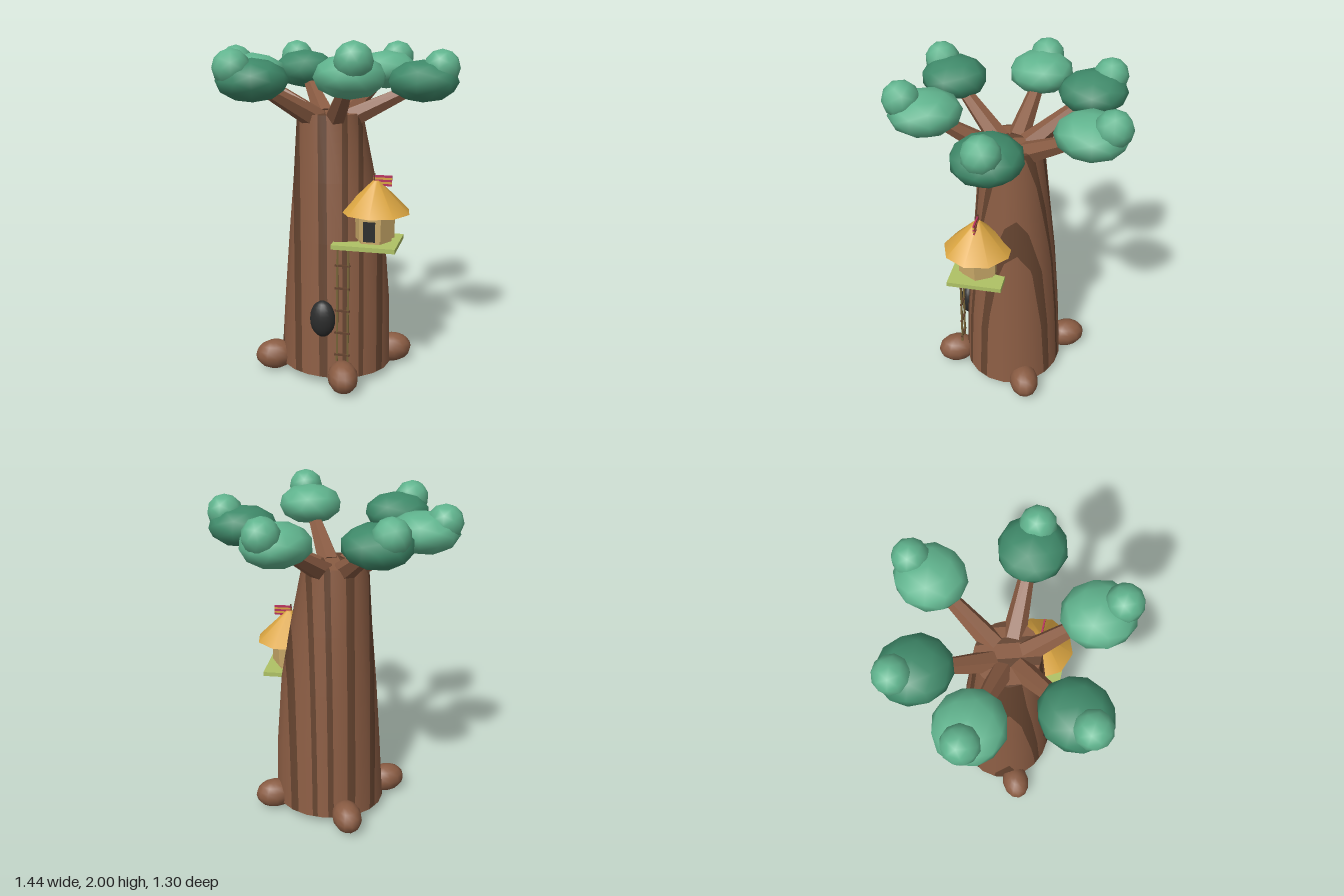
import * as THREE from 'three';

const mat = (name, hex, extra = {}) => {
  const m = new THREE.MeshStandardMaterial({ color: hex, ...extra });
  m.name = name;
  return m;
};

// Cuts a polygon of [x,y,z,nx,ny,nz] corners, keeping the side where f >= 0
function cut(poly, f) {
  const out = [];
  poly.forEach((a, i) => {
    const b = poly[(i + 1) % poly.length], fa = f(a), fb = f(b);
    if (fa >= 0) out.push(a);
    if ((fa >= 0) !== (fb >= 0)) out.push(a.map((v, k) => v + (b[k] - v) * fa / (fa - fb)));
  });
  return out;
}

// Trunk faces: elliptical cross-sections [y, centre x, centre z, radius x, radius z]
function trunkFaces() {
  const rows = [
    [0.05, 0.014, 0.005, 0.338, 0.302], [0.45, 0.022, 0.005, 0.32, 0.283],
    [0.85, 0.02, 0.003, 0.289, 0.25], [1.2, 0.005, 0.01, 0.242, 0.215],
    [1.58, -0.02, 0.02, 0.19, 0.18],
  ];
  const sides = 20, faces = [];
  const corner = ([y, cx, cz, rx, rz], i, n) => {
    const t = i / sides * Math.PI * 2, c = Math.cos(t), s = Math.sin(t);
    return [cx + rx * c, y, cz + rz * s, ...(n || [c, 0.1, s])];
  };
  for (let j = 0; j < rows.length - 1; j++)
    for (let i = 0; i < sides; i++)
      faces.push([corner(rows[j], i), corner(rows[j + 1], i), corner(rows[j + 1], i + 1), corner(rows[j], i + 1)]);
  const ring = [...Array(sides).keys()];
  faces.push(ring.map(i => corner(rows[0], i, [0, -1, 0])));
  faces.push(ring.map(i => corner(rows[4], -i, [0, 1, 0])));
  return faces;
}

// Collects the part of every face lying in grain bands lo..hi
function grainGeometry(faces, bands) {
  const pos = [], nor = [], grain = p => p[0] - 0.3 * p[2];
  for (const [lo, hi] of bands)
    for (const face of faces) {
      const p = cut(cut(face, v => grain(v) - lo), v => hi - grain(v));
      for (let i = 1; i < p.length - 1; i++)
        for (const v of [p[0], p[i], p[i + 1]]) {
          pos.push(v[0], v[1], v[2]);
          nor.push(v[3], v[4], v[5]);
        }
    }
  const g = new THREE.BufferGeometry();
  g.setAttribute('position', new THREE.Float32BufferAttribute(pos, 3));
  g.setAttribute('normal', new THREE.Float32BufferAttribute(nor, 3));
  g.normalizeNormals();
  return g;
}

export function createModel() {
  const model = new THREE.Group();
  model.name = 'treeHouse';
  const bark = mat('bark brown', 0x8a5c43);
  const barkFlat = bark;
  const grain = mat('dark grain', 0x64432f);
  const leafLight = mat('light leaf', 0x60b48e);
  const leafDark = mat('dark leaf', 0x3f8a6a);
  const thatch = mat('thatch gold', 0xd9a441);
  const wall = mat('wall tan', 0xc8a868);
  const deck = mat('deck lime', 0xafc265);
  const dark = mat('opening black', 0x2b2c2c);
  const pink = mat('flag pink', 0xb8325f);
  const rope = mat('rail olive', 0x79663a);

  const add = (name, geo, material, x = 0, y = 0, z = 0, parent = model) => {
    const m = new THREE.Mesh(geo, material);
    m.name = name;
    m.position.set(x, y, z);
    parent.add(m);
    return m;
  };
  // Tapered bar between two points
  const bar = (name, a, b, r0, r1, sides, material) => {
    const d = b.clone().sub(a);
    const geo = new THREE.CylinderGeometry(r1, r0, d.length(), sides).toNonIndexed();
    geo.computeVertexNormals();
    const m = add(name, geo, material);
    m.position.copy(a).add(b).multiplyScalar(0.5);
    m.quaternion.setFromUnitVectors(new THREE.Vector3(0, 1, 0), d.normalize());
    return m;
  };
  const V = (x, y, z) => new THREE.Vector3(x, y, z);

  // Trunk with vertical grain stripes
  const stripes = [[-0.345, -0.32], [-0.25, -0.21], [-0.105, -0.055], [0.035, 0.07], [0.135, 0.165], [0.25, 0.29]];
  const edges = [-1, ...stripes.flat(), 1], gaps = [];
  for (let i = 0; i < edges.length; i += 2) gaps.push([edges[i], edges[i + 1]]);
  const faces = trunkFaces();
  add('trunk', grainGeometry(faces, gaps), bark);
  add('trunkGrain', grainGeometry(faces, stripes), grain);

  // Roots
  for (const [x, z] of [[0.14, 0.355], [0.345, -0.125], [-0.135, -0.32], [-0.335, 0.15]]) {
    const root = add('root', new THREE.SphereGeometry(1, 12, 8), bark, x, 0.09, z);
    root.scale.set(0.088, 0.09, 0.12);
    root.rotation.y = Math.atan2(x, z);
  }

  // Branches and leaf clumps: big x, y, z, then small x, y, z
  const crowns = [
    [-0.51, 1.785, -0.06, -0.62, 1.845, -0.075, leafLight],
    [-0.285, 1.79, -0.39, -0.36, 1.86, -0.475, leafDark],
    [0.225, 1.79, -0.44, 0.275, 1.86, -0.55, leafLight],
    [0.515, 1.765, 0.035, 0.615, 1.84, 0.04, leafDark],
    [0.19, 1.815, 0.44, 0.235, 1.9, 0.55, leafLight],
    [-0.34, 1.785, 0.425, -0.42, 1.855, 0.515, leafDark],
  ];
  for (const [x, y, z, sx, sy, sz, leaf] of crowns) {
    const a = Math.atan2(z, x);
    bar('branch', V(0.1 * Math.cos(a) - 0.01, 1.54, 0.1 * Math.sin(a) + 0.02), V(x * 0.9, y - 0.04, z * 0.9), 0.066, 0.035, 6, barkFlat);
    const big = add('leafClump', new THREE.IcosahedronGeometry(1, 1), leaf, x, y, z);
    big.scale.set(0.2, 0.117, 0.19);
    big.rotation.y = -a;
    const small = add('leafTuft', new THREE.IcosahedronGeometry(0.102, 1), leafLight, sx, sy, sz);
    small.rotation.y = -a;
  }

  // Hollow in the trunk
  add('hollow', new THREE.SphereGeometry(1, 16, 12), dark, 0.005, 0.415, 0.295).scale.set(0.075, 0.11, 0.055);

  // Platform and hut
  add('platform', new THREE.BoxGeometry(0.365, 0.026, 0.315), deck, 0.238, 0.857, 0.155);
  const hut = new THREE.Group();
  hut.name = 'hut';
  hut.position.set(0.27, 0, 0.155);
  model.add(hut);
  const hexagon = (r0, r1, h) => {
    const g = new THREE.CylinderGeometry(r1, r0, h, 6, 1, false, Math.PI / 6).toNonIndexed();
    g.computeVertexNormals();
    return g;
  };
  add('hutFloor', hexagon(0.105, 0.105, 0.03), wall, 0, 0.882, 0, hut);
  add('hutWalls', hexagon(0.122, 0.122, 0.15), wall, 0, 0.968, 0, hut);
  add('door', new THREE.BoxGeometry(0.068, 0.115, 0.008), dark, -0.004, 0.945, 0.107, hut);
  add('roof', new THREE.CylinderGeometry(0.018, 0.2, 0.18, 9), thatch, 0.012, 1.13, 0, hut);

  // Flag
  add('flagPole', new THREE.CylinderGeometry(0.006, 0.006, 0.08, 6), grain, 0.002, 1.22, 0, hut);
  for (let i = 0; i < 5; i++)
    add('flagStripe', new THREE.BoxGeometry(0.104, 0.012, 0.009), i % 2 ? thatch : pink, 0.05, 1.196 + i * 0.012, 0, hut);

  // Ladder
  for (const x of [0.095, 0.158]) bar('ladderRail', V(x, 0.17, 0.315), V(x, 0.85, 0.303), 0.007, 0.007, 6, rope);
  for (let i = 0; i < 5; i++)
    add('ladderRung', new THREE.BoxGeometry(0.088, 0.011, 0.012), grain, 0.124, 0.21 + i * 0.135, 0.315 - i * 0.0025);

  return model;
}
